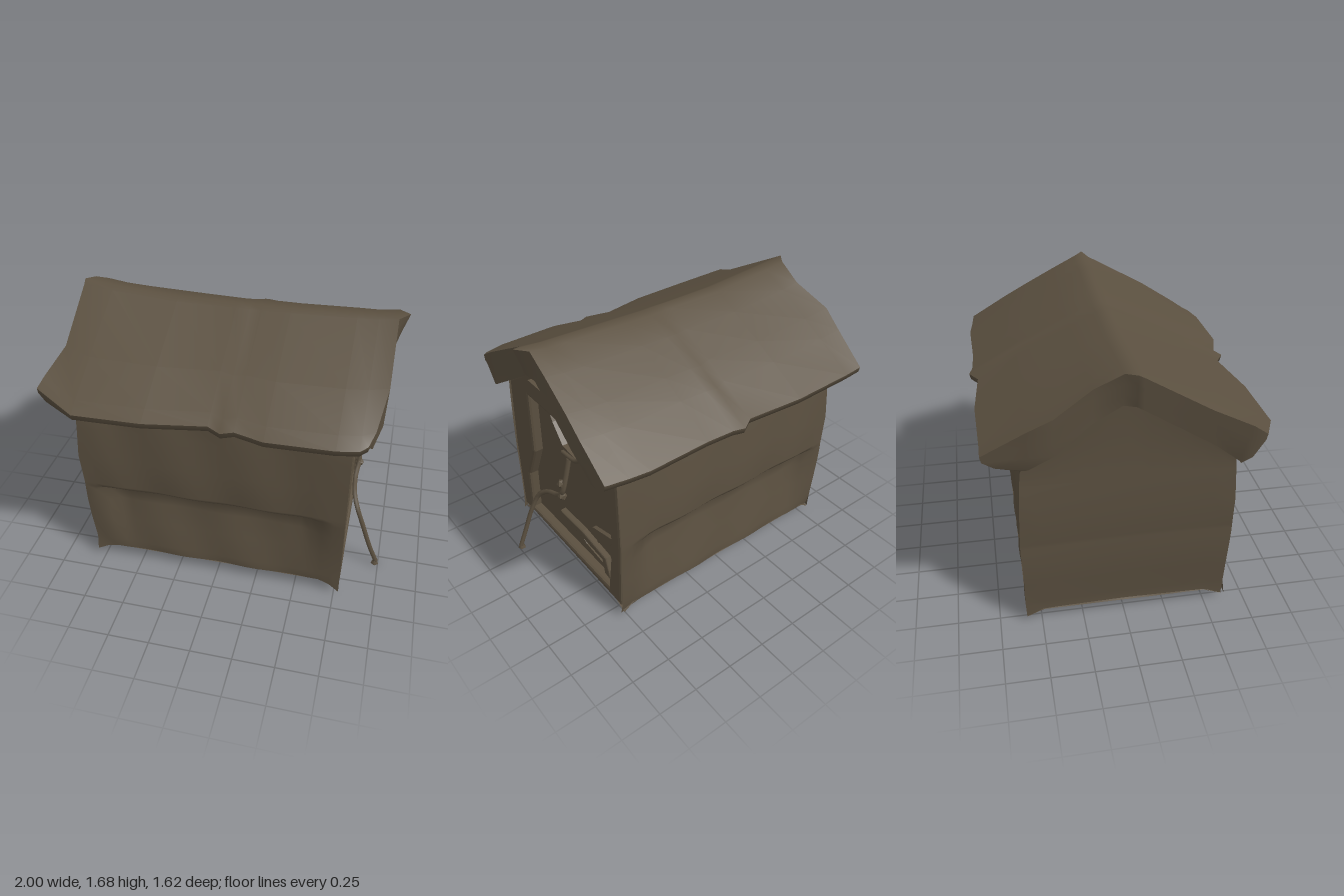
import * as THREE from 'three';

const wood = new THREE.MeshStandardMaterial({ color: 0x5b5040, side: THREE.DoubleSide });
wood.name = 'weatheredWood';

const lerp = THREE.MathUtils.lerp;
const smooth = THREE.MathUtils.smoothstep;

function add(group, name, geometry) {
  const mesh = new THREE.Mesh(geometry, wood);
  mesh.name = name;
  group.add(mesh);
  return mesh;
}

// grid surface whose vertices follow a rule: point(column, row) -> [x, y, z]
function sheet(cols, rows, point) {
  const g = new THREE.PlaneGeometry(1, 1, cols, rows);
  const p = g.attributes.position;
  for (let r = 0, k = 0; r <= rows; r++) {
    for (let c = 0; c <= cols; c++, k++) p.setXYZ(k, ...point(c, r));
  }
  g.computeVertexNormals();
  return g;
}

// plate standing across x, outlined by [z, y] points
function endPlate(outline, holes, x, depth, bevel) {
  const toPoints = (a) => a.map(([z, y]) => new THREE.Vector2(-z, y));
  const shape = new THREE.Shape(toPoints(outline));
  holes.forEach((h) => shape.holes.push(new THREE.Path(toPoints(h))));
  const g = new THREE.ExtrudeGeometry(shape, {
    depth: depth - 2 * bevel, bevelEnabled: bevel > 0, bevelSize: bevel,
    bevelThickness: bevel, bevelOffset: -bevel, bevelSegments: 2,
  });
  g.rotateY(Math.PI / 2);
  g.translate(x + bevel, 0, 0);
  return g;
}

function tube(points, radius) {
  const curve = new THREE.CatmullRomCurve3(points.map((p) => new THREE.Vector3(...p)));
  return new THREE.TubeGeometry(curve, 28, radius, 6);
}

// warped roof: each station is [x, front eave z, back eave z, ridge y]
function buildRoof() {
  const roof = new THREE.Group();
  roof.name = 'roof';
  const stations = [
    [-0.94, 0.7, -0.78, 1.69], [-0.76, 0.81, -0.78, 1.67], [-0.36, 0.8, -0.79, 1.64],
    [0, 0.74, -0.76, 1.64], [0.08, 0.79, -0.81, 1.64], [0.15, 0.76, -0.79, 1.64],
    [0.32, 0.81, -0.78, 1.645], [0.7, 0.8, -0.79, 1.66], [0.82, 0.775, -0.775, 1.665],
    [0.93, 0.74, -0.76, 1.68],
  ];
  // lines from front eave to back eave; the two gable edges are uneven
  const across = [1, 0.9, 0.6, 0.08, 0.03, -0.05, -0.25, -0.52, -0.7, -1];
  const leftX = [-1, -0.98, -0.93, -0.94, -0.945, -0.9, -0.885, -0.95, -0.92, -0.88];
  const rightX = [0.86, 0.89, 0.93, 0.93, 0.99, 0.925, 0.93, 0.94, 0.95, 0.96];
  const last = stations.length - 1;
  const back = across.length - 1;
  const isEnd = (i) => i === 0 || i === last;

  const outer = (i, j) => {
    const [x, zf, zb, ridge] = stations[i];
    const t = across[j], a = Math.abs(t);
    const eave = i === 0 && j < 2 ? 1.31 : isEnd(i) ? 1.25 : 1.24;
    return [i === 0 ? leftX[j] : i === last ? rightX[j] : x,
      lerp(ridge, eave, a) + 0.012 * Math.sin(Math.PI * a), t > 0 ? t * zf : -t * zb];
  };
  const inner = (i, j) => {
    const x = i === 0 ? leftX[j] + 0.03 : i === last ? Math.min(rightX[j], 0.94) - 0.01 : stations[i][0];
    const a = Math.min(Math.abs(across[j]) * 0.77, 0.58);
    return [x, 1.5 - (isEnd(i) ? 0.65 : 0.56) * a, Math.sign(across[j]) * a];
  };
  // rolled underside of an eave, from its tip (row 0) to the wall (row 3)
  const eavePoint = (i, j, r) => {
    const [x, y, z] = outer(i, j);
    const s = Math.sign(z);
    if (r === 0) return [x, y, z];
    if (r === 1) return [x, y - 0.035, z - s * 0.008];
    if (r === 2) return [x, isEnd(i) ? 1.175 : 1.19, z - s * 0.07];
    return inner(i, j);
  };
  add(roof, 'roofTop', sheet(last, back, outer));
  add(roof, 'roofUnderside', sheet(last, back, inner));
  add(roof, 'frontEave', sheet(last, 3, (i, r) => eavePoint(i, 0, r)));
  add(roof, 'backEave', sheet(last, 3, (i, r) => eavePoint(i, back, r)));

  // slanted boards closing the two gable ends
  [['leftBargeboard', 0], ['rightBargeboard', last]].forEach(([name, i]) => {
    add(roof, name, sheet(back, 3, (j, r) => {
      if (j % back === 0) return eavePoint(i, j, r);
      const b = inner(i, j);
      return outer(i, j).map((v, k) => lerp(v, b[k], r / 3));
    }));
  });
  return roof;
}

export function createModel() {
  const model = new THREE.Group();
  model.name = 'smallHouse';

  // long walls: an upper board overhanging a lower board that leans in
  const levels = [0.08, 0.14, 0.3, 0.45, 0.55, 0.575, 0.6, 0.8, 1, 1.1, 1.18];
  const leftEdge = [-0.8, -0.8, -0.82, -0.83, -0.83, -0.83, -0.83, -0.85, -0.84, -0.84, -0.86];
  const depths = [0.61, 0.615, 0.615, 0.62, 0.625, 0.625, 0.625, 0.62, 0.61, 0.6, 0.58];
  const sunken = [0, 0.005, 0.035, 0.065, 0.08, 0.015, 0, 0.005, 0.015, 0.015, 0];
  const wall = (side) => (c, r) => {
    const u = c / 24;
    const corner = Math.max(0, Math.abs(u - 0.5) * 16 - 7);
    const x = lerp(leftEdge[r], 0.78, u);
    const inset = smooth(u, 0.04, 0.13) * (1 - smooth(u, 0.83, 0.95));
    const wave = 0.005 * Math.sin(c * 0.9 + r * 0.9) * inset;
    const z = depths[r] - sunken[r] * inset + wave + (r === 0 ? corner * 0.02 * side : 0);
    const y = levels[r] - (r === 0 ? corner * (u > 0.5 ? 0.06 : 0.04) : 0);
    return [x, y, side > 0 ? z : -z + 0.02];
  };
  add(model, 'frontWall', sheet(24, 10, wall(1)));
  add(model, 'backWall', sheet(24, 10, wall(-1)));

  // closed gable wall
  add(model, 'leftEndWall', sheet(10, 10, (c, r) => {
    const u = c / 5 - 1;
    const z = u * depths[r] + (u < 0 ? -u * 0.02 : 0);
    const gable = 0.34 * (1 - Math.abs(u)) * smooth(r, 8, 10);
    const corner = Math.abs(u) === 1 && r === 0 ? 0.04 : 0;
    return [leftEdge[r] + 0.012 * (1 - u * u), levels[r] + gable - corner, z];
  }));

  // floor, rippled underneath and more so towards the open end
  add(model, 'floor', sheet(24, 12, (c, r) => {
    const edge = c % 24 === 0 || r % 12 === 0;
    const corner = c % 24 === 0 && r % 12 === 0;
    const ripple = lerp(0.004, 0.024, c / 24) * Math.sin(c * 0.5 + r * 1.3);
    return [lerp(-0.8, 0.77, c / 24), corner ? 0.035 : edge ? 0.08 : 0.1 + ripple, lerp(-0.59, 0.61, r / 12)];
  }));

  // open end: posts, sill and cross beam around the entrance panel
  const outline = [[0.61, 0.08], [0.62, 0.6], [0.59, 1.12], [0, 1.52], [-0.58, 1.12], [-0.59, 0.6], [-0.57, 0.08]];
  const opening = [[0.36, 1.11], [0.37, 0.67], [0.48, 0.42], [0.49, 0.12], [-0.44, 0.14], [-0.49, 0.5], [-0.48, 1.11]];
  const gableOpening = [[0.36, 1.23], [0, 1.48], [-0.36, 1.23]];
  const end = new THREE.Group();
  end.name = 'entranceEnd';
  model.add(end);
  add(end, 'entranceFrame', endPlate(outline, [opening, gableOpening], 0.7, 0.08, 0.018));

  const panel = [[0.52, 0.1], [0.52, 1.1], [0, 1.5], [-0.51, 1.1], [-0.51, 0.1]];
  const doorway = [[0.26, 1.09], [0.2, 0.98], [0.1, 0.86], [-0.05, 0.845], [-0.14, 0.89], [-0.21, 0.98], [-0.25, 1.09]];
  const pocket = [[0.08, 0.28], [-0.34, 0.27], [-0.41, 0.16], [-0.1, 0.19]];
  add(end, 'entrancePanel', endPlate(panel, [doorway, pocket], 0.66, 0.055, 0));
  const backing = [[0.4, 0.12], [0.4, 1.12], [-0.44, 1.12], [-0.44, 0.12]];
  add(end, 'doorwayBack', endPlate(backing, [], 0.63, 0.02, 0));

  // low ledge and worn flap on the panel
  const ledge = [[0.14, 0.33], [-0.12, 0.34], [-0.38, 0.31], [-0.43, 0.16], [-0.36, 0.17], [-0.34, 0.27], [0.1, 0.29]];
  add(end, 'lowerLedge', endPlate(ledge, [], 0.71, 0.045, 0.01));
  add(end, 'tornFlap', endPlate([[-0.23, 0.45], [-0.47, 0.52], [-0.4, 0.42], [-0.28, 0.36]], [], 0.71, 0.03, 0));

  // gable slats behind the bargeboards
  [[0.2, 0.35], [-0.13, -0.3]].forEach(([z, tilt]) => {
    const slat = add(end, 'gableSlat', new THREE.BoxGeometry(0.05, 0.17, 0.045));
    slat.position.set(0.73, 1.31, z);
    slat.rotation.x = tilt;
  });

  // cord draped round the doorway and hanging to the ground
  add(end, 'doorwayCord', tube([[0.72, 1.1, -0.26], [0.73, 0.98, -0.2], [0.74, 0.88, -0.1], [0.74, 0.85, 0.06]], 0.014));
  add(end, 'hangingCord', tube([
    [0.74, 0.84, -0.01], [0.77, 0.72, -0.01], [0.8, 0.6, 0], [0.79, 0.52, 0.08],
    [0.8, 0.47, 0.2], [0.83, 0.41, 0.27], [0.88, 0.29, 0.3], [0.93, 0.15, 0.31], [0.985, 0.02, 0.31],
  ], 0.016));
  [[0.795, 0.66, 0.01], [0.8, 0.57, 0.005]].forEach((p) => {
    const knot = add(end, 'cordKnot', new THREE.IcosahedronGeometry(0.03, 0));
    knot.position.set(...p);
  });
  const tip = add(end, 'cordEnd', new THREE.ConeGeometry(0.026, 0.06, 5));
  tip.position.set(0.98, 0.03, 0.31);

  model.add(buildRoof());
  return model;
}
